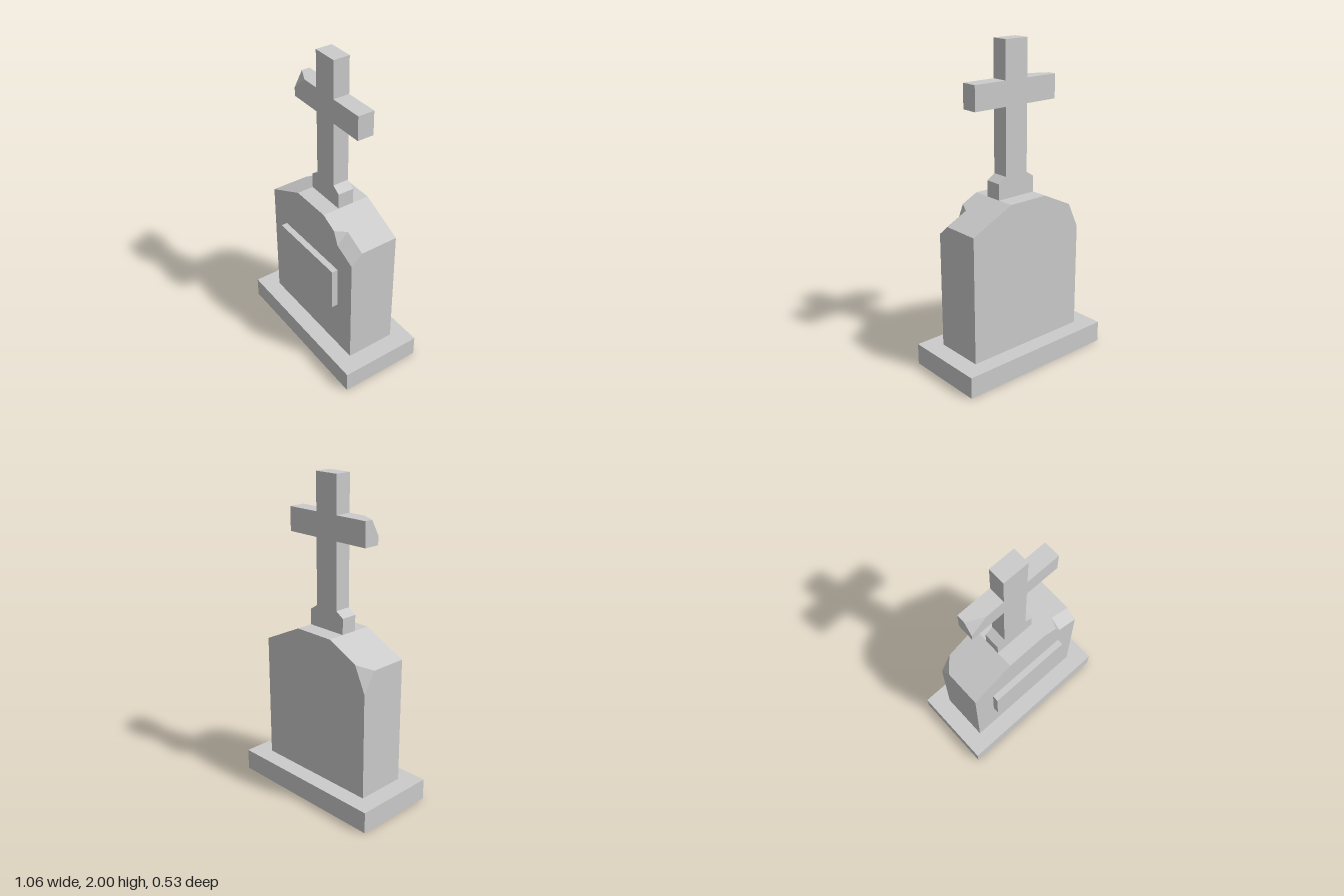
import * as THREE from 'three';
import { ConvexGeometry } from 'three/addons/geometries/ConvexGeometry.js';

const material = new THREE.MeshStandardMaterial({ color: 0xcccccc, flatShading: true });

function add(group, name, geometry, x = 0, y = 0, z = 0) {
  const mesh = new THREE.Mesh(geometry, material);
  mesh.name = name;
  mesh.position.set(x, y, z);
  group.add(mesh);
}

// Flat polygons, counter-clockwise from outside, each fanned from its first corner
function polygons(faces) {
  const positions = [];
  for (const f of faces) {
    for (let i = 1; i < f.length - 1; i++) positions.push(...f[0], ...f[i], ...f[i + 1]);
  }
  const geometry = new THREE.BufferGeometry();
  geometry.setAttribute('position', new THREE.Float32BufferAttribute(positions, 3));
  geometry.computeVertexNormals();
  return geometry;
}

// Gabled slab with a notch at the front left and a clipped corner at the back right
function slabGeometry() {
  const W = 0.415, D = 0.16, y0 = 0.135, eave = 0.935, top = 1.07, t = 0.135;
  const slope = (x) => top - (Math.abs(x) - t) * (top - eave) / (W - t);
  // corners
  const fbl = [-W, y0, D], fbr = [W, y0, D], bbl = [-W, y0, -D], bbr = [W, y0, -D];
  const ftl = [-t, top, D], ftr = [t, top, D], btl = [-t, top, -D], btr = [t, top, -D];
  const fe = [-W, eave, D], be = [W, eave, -D];
  // front notch
  const n1 = [0.24, slope(0.24), D], n2 = [0.275, slope(0.275), 0.087];
  const n3 = [W, eave, 0.087], n4 = [W, 0.87, D], n5 = [0.275, 0.935, D];
  // back clipped corner
  const c1 = [-0.34, slope(0.34), -D], c2 = [-W, eave, -0.08], c3 = [-W, 0.81, -D];
  return polygons([
    [fbl, fbr, n4, n5, n1, ftr, ftl, fe],
    [bbr, bbl, c3, c1, btl, btr, be],
    [bbr, be, n3, n4, fbr],
    [bbl, fbl, fe, c2, c3],
    [ftl, ftr, btr, btl],
    [btr, ftr, n1, n2, n3, be],
    [ftl, btl, c1, c2, fe],
    [n5, n4, n3, n2],
    [n1, n5, n2],
    [c1, c3, c2],
    [fbl, bbl, bbr, fbr],
  ]);
}

export function createModel() {
  const model = new THREE.Group();
  model.name = 'gravestone';

  add(model, 'base', new THREE.BoxGeometry(1.064, 0.135, 0.534), 0, 0.0675, 0);
  add(model, 'slab', slabGeometry());
  add(model, 'plaque', new THREE.BoxGeometry(0.556, 0.28, 0.04), 0, 0.61, 0.18);

  // Cross post with its flared foot
  const d = 0.0525, w = 0.082;
  const half = [[0.135, 1.07], [0.135, 1.17], [w, 1.205], [w, 2]];
  const outline = [...half, ...half.map(([x, y]) => [-x, y]).reverse()];
  const shape = new THREE.Shape(outline.map(([x, y]) => new THREE.Vector2(x, y)));
  const cross = new THREE.Group();
  cross.name = 'cross';
  model.add(cross);
  add(cross, 'crossPost', new THREE.ExtrudeGeometry(shape, { depth: 2 * d, bevelEnabled: false }), 0, 0, -d);

  // Whole left arm, and right arm with its front upper corner broken off
  const end = 0.305, lo = 1.62, hi = 1.77;
  add(cross, 'leftArm', new THREE.BoxGeometry(end - w, hi - lo, 2 * d), (end + w) / 2, (lo + hi) / 2, 0);
  const chipped = [
    [-w, lo, -d], [-w, lo, d], [-w, hi, -d], [-w, hi, d],
    [-end, lo, -d], [-end, lo, d], [-end, hi, -d],
    [-end, hi, 0], [-end, 1.675, d], [-0.2, hi, d],
  ].map((p) => new THREE.Vector3(...p));
  add(cross, 'rightArm', new ConvexGeometry(chipped));

  return model;
}
